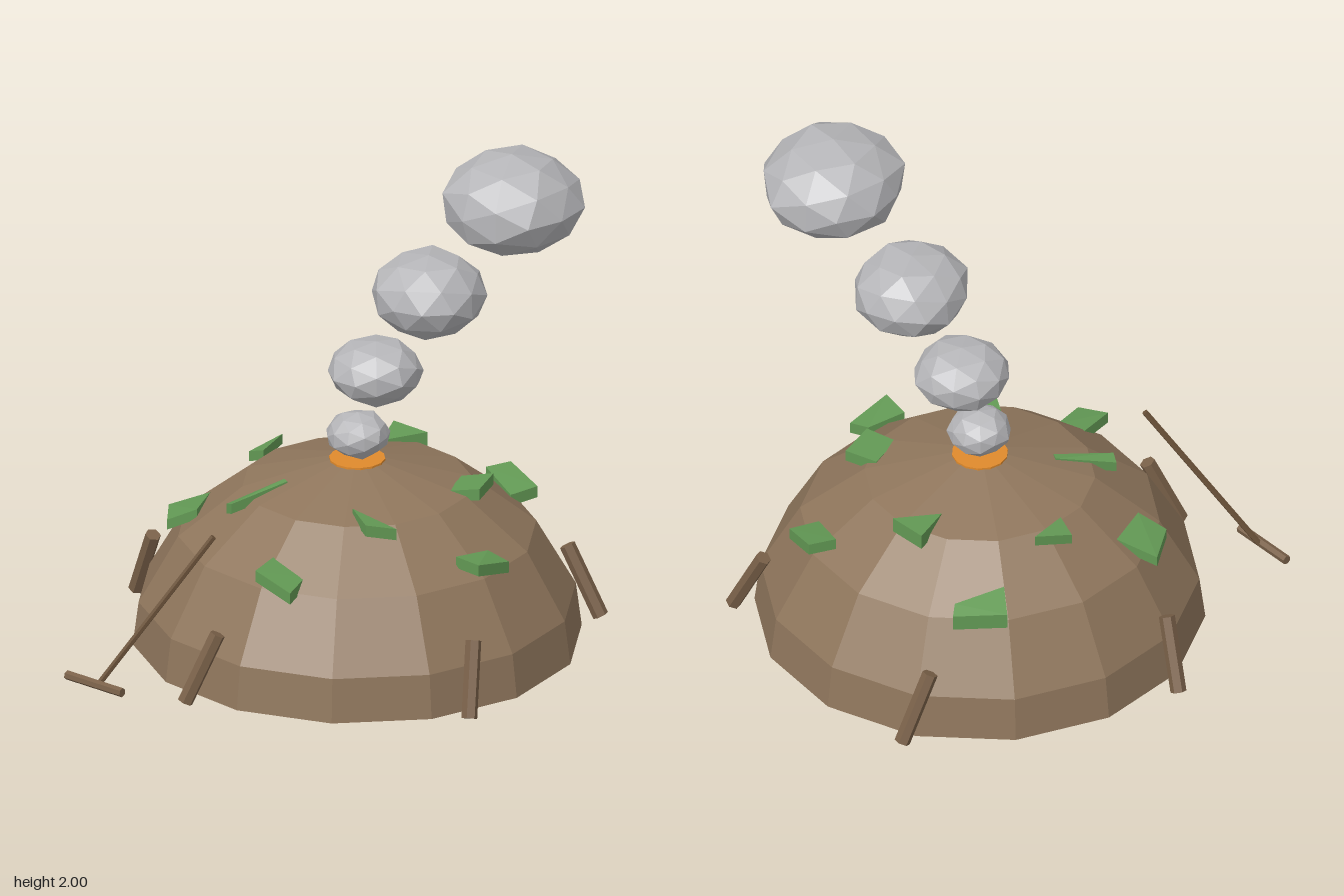
import * as THREE from 'three';
import { ConvexGeometry } from 'three/addons/geometries/ConvexGeometry.js';

const mat = (name, color) => Object.assign(new THREE.MeshStandardMaterial({ color }), { name });

// Faceted normals for a low-poly look
function flat(geo) {
  const g = geo.index ? geo.toNonIndexed() : geo;
  g.computeVertexNormals();
  return g;
}

export function createModel() {
  const model = new THREE.Group();
  model.name = 'smokingEarthMound';
  const earth = mat('earth brown', 0x8f765c);
  const wood = mat('wood brown', 0x7a6149);
  const darkWood = mat('dark wood', 0x6b5239);
  const grass = mat('grass green', 0x639a55);
  const smoke = mat('smoke grey', 0xb6b6b9);
  const ember = mat('ember orange', 0xe08a2c);

  const add = (name, geo, material, parent = model) => {
    const mesh = new THREE.Mesh(flat(geo), material);
    mesh.name = name;
    parent.add(mesh);
    return mesh;
  };
  const group = (name) => {
    const g = new THREE.Group();
    g.name = name;
    model.add(g);
    return g;
  };
  // Round stick between two points
  const stick = (name, a, b, radius, material, parent) => {
    const p = new THREE.Vector3(...a), q = new THREE.Vector3(...b);
    const dir = q.clone().sub(p);
    const mesh = add(name, new THREE.CylinderGeometry(radius, radius, dir.length(), 6), material, parent);
    mesh.position.copy(p).add(q).multiplyScalar(0.5);
    mesh.quaternion.setFromUnitVectors(new THREE.Vector3(0, 1, 0), dir.normalize());
  };

  // Mound: fourteen-sided dome with a closed base
  const profile = [[0, 0], [0.84, 0], [0.818, 0.17], [0.67, 0.43], [0.43, 0.62], [0.1, 0.712], [0, 0.713]]
    .map(([r, y]) => new THREE.Vector2(r, y));
  add('mound', new THREE.LatheGeometry(profile, 14, Math.PI / 2), earth).position.set(0.04, 0, 0.015);

  // Glowing vent at the top
  add('emberVent', new THREE.CylinderGeometry(0.105, 0.105, 0.009, 14), ember).position.set(0.04, 0.714, 0.015);

  // Smoke puffs: [centre, half sizes]
  const puffs = group('smokePuffs');
  [
    [[0.04, 0.816, 0.02], [0.12, 0.087, 0.12]],
    [[0.105, 1.072, -0.003], [0.17, 0.117, 0.175]],
    [[0.31, 1.404, -0.027], [0.21, 0.153, 0.217]],
    [[0.636, 1.81, -0.055], [0.265, 0.19, 0.267]],
  ].forEach(([centre, half], i) => {
    const geo = new THREE.IcosahedronGeometry(1, 1);
    geo.rotateY(i * 0.9);
    const pos = geo.attributes.position;
    for (let k = 0; k < pos.count; k++) {
      const v = new THREE.Vector3().fromBufferAttribute(pos, k);
      v.multiplyScalar(1 + 0.05 * Math.sin(v.x * 5 + i) * Math.cos(v.z * 4 + v.y * 3));
      pos.setXYZ(k, v.x, v.y, v.z);
    }
    geo.center();
    const max = geo.boundingBox.getSize(new THREE.Vector3());
    geo.scale(2 * half[0] / max.x, 2 * half[1] / max.y, 2 * half[2] / max.z);
    add('smokePuff', geo, smoke, puffs).position.set(...centre);
  });

  // Leaning posts: base x, z then top x, z
  const posts = group('posts');
  [
    [-0.13, -0.875, -0.185, -0.76],
    [0.845, -0.425, 0.71, -0.435],
    [0.703, 0.645, 0.677, 0.525],
    [-0.345, 0.85, -0.24, 0.785],
    [-0.87, -0.095, -0.775, -0.015],
  ].forEach(([bx, bz, tx, tz]) => stick('post', [bx, 0.012, bz], [tx, 0.275, tz], 0.03, wood, posts));

  // Rake leaning on the mound
  const rake = group('rake');
  stick('rakeHandle', [-0.69, 0.03, 0.835], [-0.3, 0.61, 0.66], 0.012, darkWood, rake);
  stick('rakeHead', [-0.83, 0.03, 0.795], [-0.58, 0.03, 0.885], 0.018, wood, rake);

  // Turf slabs: top corners, extended downward by a thickness
  const turf = group('turf');
  [
    [0.06, [-0.39, 0.48, -0.54], [-0.22, 0.48, -0.65], [-0.2, 0.5, -0.6], [-0.32, 0.52, -0.44]],
    [0.06, [0.01, 0.66, -0.48], [0.16, 0.655, -0.43], [0.02, 0.65, -0.31]],
    [0.045, [0.37, 0.52, -0.49], [0.44, 0.52, -0.57], [0.58, 0.48, -0.47], [0.51, 0.475, -0.37]],
    [0.04, [-0.44, 0.61, -0.14], [-0.35, 0.645, -0.26], [-0.37, 0.64, -0.1]],
    [0.04, [-0.68, 0.45, 0.08], [-0.53, 0.505, 0.04], [-0.52, 0.51, 0.22], [-0.63, 0.46, 0.24]],
    [0.04, [-0.36, 0.605, 0.34], [-0.19, 0.665, 0.18], [-0.17, 0.665, 0.2], [-0.33, 0.62, 0.37]],
    [0.045, [0.14, 0.66, 0.35], [0.33, 0.625, 0.4], [0.23, 0.65, 0.46]],
    [0.045, [0.54, 0.515, 0.33], [0.62, 0.5, 0.2], [0.71, 0.475, 0.22], [0.65, 0.52, 0.39]],
    [0.045, [-0.1, 0.515, 0.56], [0.04, 0.47, 0.6], [0.03, 0.46, 0.74], [-0.12, 0.515, 0.7]],
    [0.045, [0.4, 0.635, -0.13], [0.52, 0.655, -0.15], [0.52, 0.655, 0.01], [0.4, 0.635, 0.02]],
  ].forEach(([depth, ...corners]) => {
    const points = corners.flatMap(([x, y, z]) =>
      [new THREE.Vector3(x, y, z), new THREE.Vector3(x, y - depth, z)]);
    add('turfSlab', new ConvexGeometry(points), grass, turf);
  });

  return model;
}
